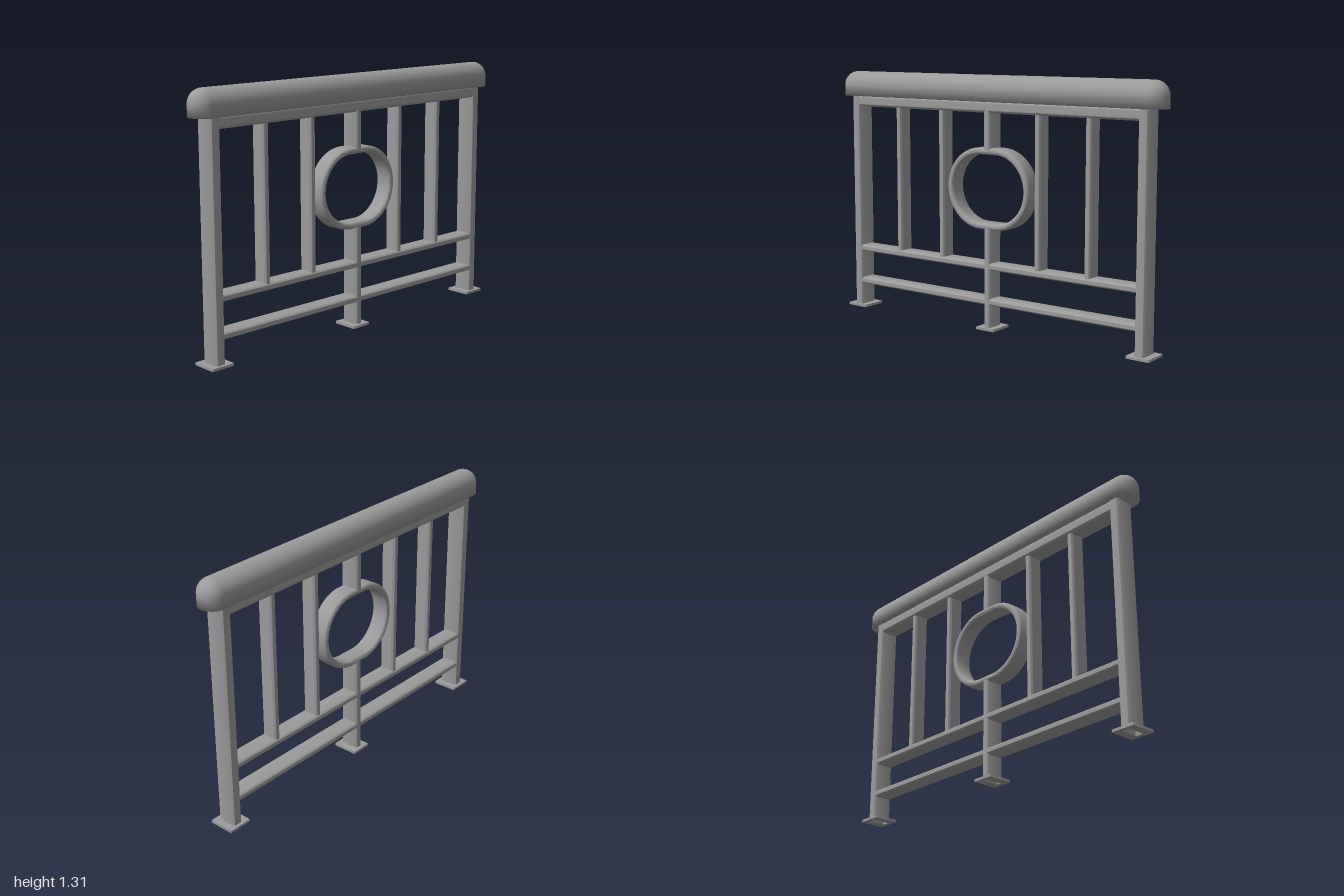
import * as THREE from 'three';
import { toCreasedNormals } from 'three/addons/utils/BufferGeometryUtils.js';

const material = new THREE.MeshStandardMaterial({ color: 0x9b9b9b, side: THREE.DoubleSide });

// Rectangle with round corners, centred on the origin
function roundedRect(w, h, r, ShapeType = THREE.Shape) {
  const x = w / 2 - r, y = h / 2 - r, s = new ShapeType();
  s.absarc(x, y, r, 0, Math.PI / 2);
  s.absarc(-x, y, r, Math.PI / 2, Math.PI);
  s.absarc(-x, -y, r, Math.PI, Math.PI * 1.5);
  s.absarc(x, -y, r, Math.PI * 1.5, Math.PI * 2);
  s.closePath();
  return s;
}

// Extruded shape with soft curves and sharp ends
function extrude(shape, depth, options = {}) {
  const g = new THREE.ExtrudeGeometry(shape, { depth, bevelEnabled: false, curveSegments: 8, ...options });
  return toCreasedNormals(g, 0.9);
}

// Domed bar: a round knob pulled apart along x into a long rail with round ends
function domedBar(length, radius, base, spring) {
  const points = [new THREE.Vector2(0, base), new THREE.Vector2(radius, base)];
  for (let i = 0; i <= 12; i++) {
    const a = (i / 12) * Math.PI / 2;
    points.push(new THREE.Vector2(radius * Math.cos(a), spring + radius * Math.sin(a)));
  }
  const n = 40;
  const g = new THREE.LatheGeometry(points, n, Math.PI / n);
  const pos = g.attributes.position;
  for (let i = 0; i < pos.count; i++) {
    const column = Math.floor(i / points.length) % n;
    const side = column < n / 2 ? 1 : -1;
    pos.setX(i, pos.getX(i) + side * (length / 2 - radius));
  }
  return g;
}

export function createModel() {
  const group = new THREE.Group();

  function add(name, geometry, x = 0, y = 0, z = 0) {
    const mesh = new THREE.Mesh(geometry, material);
    mesh.name = name;
    mesh.position.set(x, y, z);
    group.add(mesh);
  }

  // Vertical hollow tube: section w (x) by d (z), from y0 to y1
  function upright(name, x, y0, y1, w, d, r) {
    const section = roundedRect(w, d, r);
    section.holes.push(roundedRect(w - 0.01, d - 0.01, r - 0.004, THREE.Path));
    add(name, extrude(section, y1 - y0).rotateX(-Math.PI / 2), x, y0);
  }

  // Horizontal tube between the posts: section d (z) by h (y)
  function rail(name, y, h, d, r) {
    const length = 1.77;
    const g = extrude(roundedRect(d, h, r), length);
    add(name, g.translate(0, 0, -length / 2).rotateY(Math.PI / 2), 0, y);
  }

  add('handrail', domedBar(2, 0.0735, 1.175, 1.234));

  // End posts, balusters and split centre post
  for (const side of [-1, 1]) {
    upright('post', side * 0.9, 0.003, 1.18, 0.051, 0.102, 0.01);
    for (const x of [0.305, 0.6]) upright('baluster', side * x, 0.335, 1.13, 0.035, 0.088, 0.0165);
  }
  upright('lowerCentrePost', 0, 0.003, 0.53, 0.036, 0.098, 0.008);
  upright('upperCentrePost', 0, 0.93, 1.13, 0.036, 0.098, 0.008);

  // Horizontal rails
  rail('upperRail', 1.149, 0.062, 0.1, 0.016);
  rail('middleRail', 0.331, 0.036, 0.1015, 0.0175);
  rail('lowerRail', 0.147, 0.036, 0.1015, 0.0175);

  // Oval ring: thin loop swollen by a round bevel
  const loop = roundedRect(0.48, 0.386, 0.1925);
  loop.holes.push(roundedRect(0.478, 0.384, 0.1915, THREE.Path));
  const ringDepth = 0.066;
  add('ovalRing', extrude(loop, ringDepth, {
    bevelEnabled: true, bevelSize: 0.0165, bevelThickness: 0.0165, bevelSegments: 6, curveSegments: 16,
  }), 0, 0.731, -ringDepth / 2);

  // Foot plates, open under the hollow posts
  for (const [x, w, hole] of [[-0.9, 0.126, 0.041], [0, 0.112, 0.026], [0.9, 0.126, 0.041]]) {
    const plate = roundedRect(w, 0.135, 0.003);
    plate.holes.push(roundedRect(hole, 0.09, 0.006, THREE.Path));
    add('footPlate', extrude(plate, 0.013).rotateX(-Math.PI / 2), x);
  }

  return group;
}
